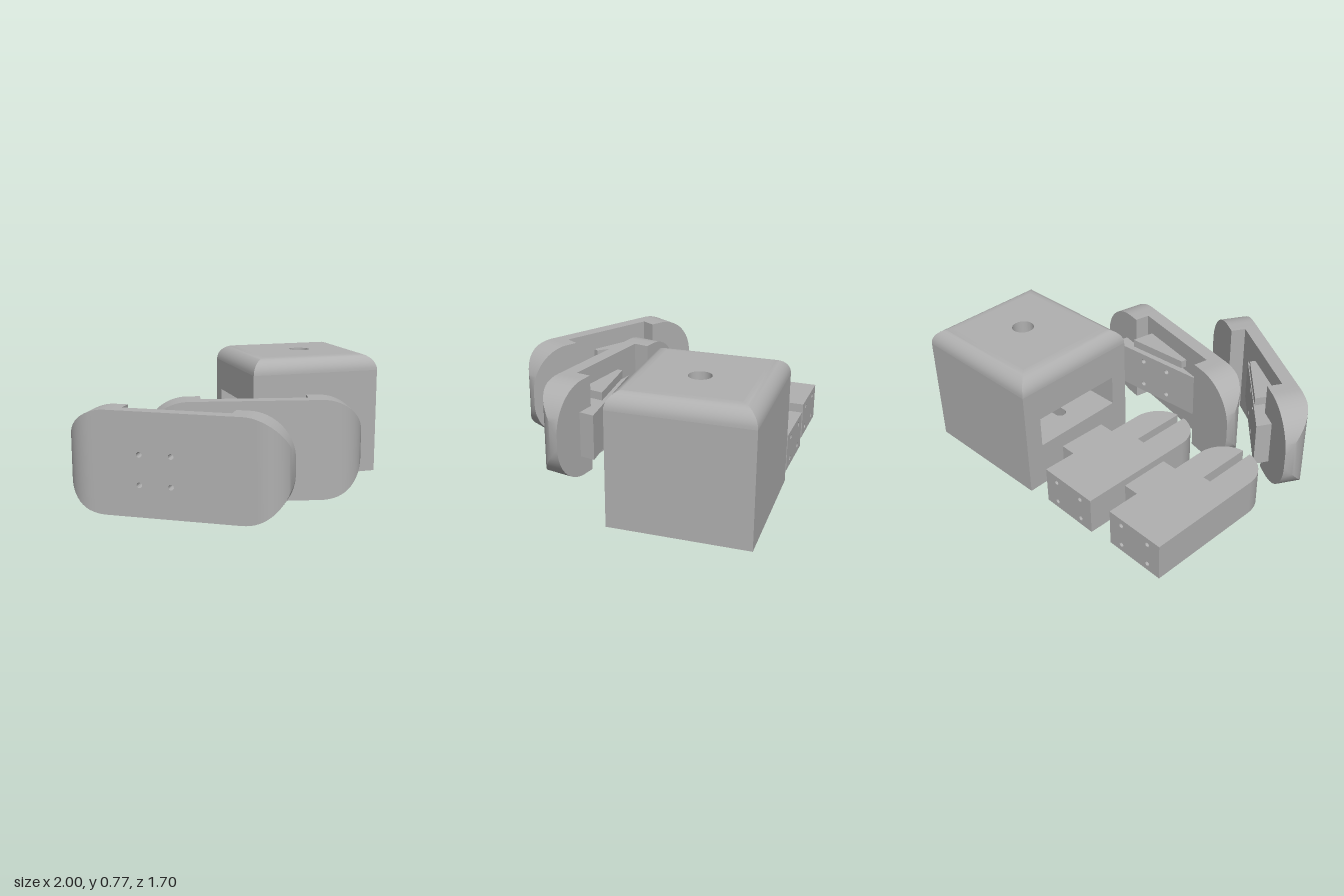
import * as THREE from 'three';
import { toCreasedNormals } from 'three/addons/utils/BufferGeometryUtils.js';

const HALF_PI = Math.PI / 2;
const grey = new THREE.MeshStandardMaterial({ color: 0xb0b0b0 });
grey.name = 'grey plastic';

function add(group, name, geometry) {
  const mesh = new THREE.Mesh(toCreasedNormals(geometry, 0.5), grey);
  mesh.name = name;
  group.add(mesh);
  return mesh;
}

const polygon = (points) => new THREE.Shape(points.map((p) => new THREE.Vector2(...p)));

const rect = (x0, y0, x1, y1) => polygon([[x0, y0], [x1, y0], [x1, y1], [x0, y1]]);

function drill(shape, points, r) {
  for (const [x, y] of points) shape.holes.push(new THREE.Path().absarc(x, y, r, 0, 2 * Math.PI));
  return shape;
}

const extrude = (shape, depth) =>
  new THREE.ExtrudeGeometry(shape, { depth, bevelEnabled: false, curveSegments: 24 });

// Vertical prism from a plan drawn in (x, z)
const prism = (shape, y0, y1) => extrude(shape, y1 - y0).rotateX(HALF_PI).translate(0, y1, 0);

// Skin between equal-length rings, counter-clockwise about the direction of travel
function loft(rings) {
  const pos = [];
  for (let i = 0; i + 1 < rings.length; i++) {
    const n = rings[i].length;
    for (let j = 0; j < n; j++) {
      const k = (j + 1) % n;
      const [a, b, c, d] = [rings[i][j], rings[i][k], rings[i + 1][k], rings[i + 1][j]];
      pos.push(...a, ...b, ...c, ...a, ...c, ...d);
    }
  }
  const g = new THREE.BufferGeometry();
  g.setAttribute('position', new THREE.Float32BufferAttribute(pos, 3));
  return g;
}

// Palm block: side pocket, cable channel, round top edges
function palm() {
  const group = new THREE.Group();
  group.name = 'palm';
  const [x0, x1, z0, z1, hx, hz] = [0.16, 1, -0.85, -0.05, 0.615, -0.45];

  const base = rect(x0, z0, x1, z1);
  const keyhole = new THREE.Path();
  const cut = Math.PI - Math.asin(0.035 / 0.065);
  keyhole.absarc(hx, hz, 0.065, -cut, cut);
  keyhole.absarc(0.325, hz, 0.035, HALF_PI, 3 * HALF_PI);
  keyhole.closePath();
  base.holes.push(keyhole);
  add(group, 'palmBase', prism(base, 0, 0.28));

  const pocket = polygon([[x0, z0], [x1, z0], [x1, z1], [x0, z1],
    [x0, -0.16], [0.72, -0.16], [0.72, -0.74], [x0, -0.74]]);
  add(group, 'palmPocketWalls', prism(pocket, 0.28, 0.47));

  add(group, 'palmUpper', prism(drill(rect(x0, z0, x1, z1), [[hx, hz]], 0.065), 0.47, 0.67));

  const r = 0.1;
  add(group, 'palmTop', prism(
    drill(rect(x0 + r, z0 + r, x1 - r, z1 - r), [[hx, hz]], 0.065), 0.67, 0.77));
  const rings = [];
  for (let i = 0; i <= 10; i++) {
    const t = (i / 10) * HALF_PI;
    const s = r * (1 - Math.cos(t));
    const y = 0.67 + r * Math.sin(t);
    rings.push([[x1 - s, y, z1 - s], [x1 - s, y, z0 + s], [x0 + s, y, z0 + s], [x0 + s, y, z1 - s]]);
  }
  add(group, 'palmRoundedEdge', loft(rings));
  return group;
}

// Finger block: slotted round tip, side tab, four screw holes in the back
function finger(x) {
  const group = new THREE.Group();
  group.name = 'finger';
  const [w, slot, h] = [0.19, 0.025, 0.23];
  const a = Math.acos(slot / w);
  const shape = polygon([[-w, -0.665], [w, -0.665], [w, -0.52], [0.285, -0.52],
    [0.285, -0.215], [w, -0.215], [w, 0]]);
  shape.absarc(0, 0, w, 0, a);
  shape.lineTo(slot, -0.155);
  shape.lineTo(-slot, -0.155);
  shape.absarc(0, 0, w, Math.PI - a, Math.PI);
  shape.closePath();
  add(group, 'fingerBody', prism(shape, 0, h));

  const holes = [[-0.1, 0.045], [0.1, 0.045], [-0.1, 0.185], [0.1, 0.185]];
  add(group, 'fingerBack', extrude(drill(rect(-w, 0, w, h), holes, 0.015), 0.06))
    .position.z = -0.725;
  group.position.set(x, 0, -0.115);
  group.rotation.y = -0.04;
  return group;
}

// Rounded end of a cover plate, growing along +x from its tip
function plateEnd() {
  const [R, T, end] = [0.26, 0.176, 0.335];
  const rings = [];
  const section = (x) => {
    const h = 0.3 - R + Math.sqrt(Math.max(0, R * R - Math.max(0, R - x) ** 2));
    const z = Math.sqrt(Math.max(0, T * T - Math.max(0, T - x) ** 2));
    rings.push([[x, -h, 0], [x, h, 0], [x, h, z], [x, -h, z]]);
  };
  for (let i = 0; i <= 16; i++) section(R * (1 - Math.cos((i / 16) * HALF_PI)));
  section(end);
  rings.push(Array(4).fill([end, 0, T / 2]));
  return loft(rings);
}

// Cover plate: x runs along it, +z is the outer face
function plate(flip, x, z, angle) {
  const group = new THREE.Group();
  group.name = 'coverPlate';
  const L = 1.3;
  const along = (a) => (flip ? L - a : a);
  const span = (a0, a1, y0, y1) =>
    rect(Math.min(along(a0), along(a1)), y0, Math.max(along(a0), along(a1)), y1);
  const holes = [];
  for (const a of [0.46, 0.643]) for (const y of [0.185, 0.358]) holes.push([along(a), y]);

  add(group, 'plateEnd', plateEnd().translate(0, 0.3, 0));
  add(group, 'plateEnd', plateEnd().rotateZ(Math.PI).translate(L, 0.3, 0));
  add(group, 'plateMiddle', extrude(drill(span(0.335, 0.965, 0, 0.6), holes, 0.016), 0.084)
    .translate(0, 0, 0.092));

  // Sloping pad: the inner face follows a ramp
  const slope = (a) => -0.095 + ((a - 0.222) / 0.663) * 0.187;
  const pad = extrude(drill(span(0.222, 0.885, 0.13, 0.41), holes, 0.016), 1);
  const p = pad.attributes.position;
  for (let i = 0; i < p.count; i++) {
    p.setZ(i, p.getZ(i) > 0.5 ? 0.0921 : slope(along(p.getX(i))));
  }
  add(group, 'slopingPad', pad);

  // Small rib above the pad
  const rib = polygon([[along(0.38), slope(0.38)], [along(0.76), slope(0.76)],
    [along(0.76), 0.093], [along(0.38), 0.093]]);
  add(group, 'padRib', prism(rib, 0.44, 0.49));

  group.position.set(x, 0, z);
  group.rotation.y = angle;
  return group;
}

export function createModel() {
  const model = new THREE.Group();
  model.name = 'gripperParts';
  model.add(palm(), finger(-0.705), finger(-0.19));
  model.add(plate(false, -0.975, 0.08, -0.559), plate(true, -0.565, 0.065, -0.224));
  return model;
}
